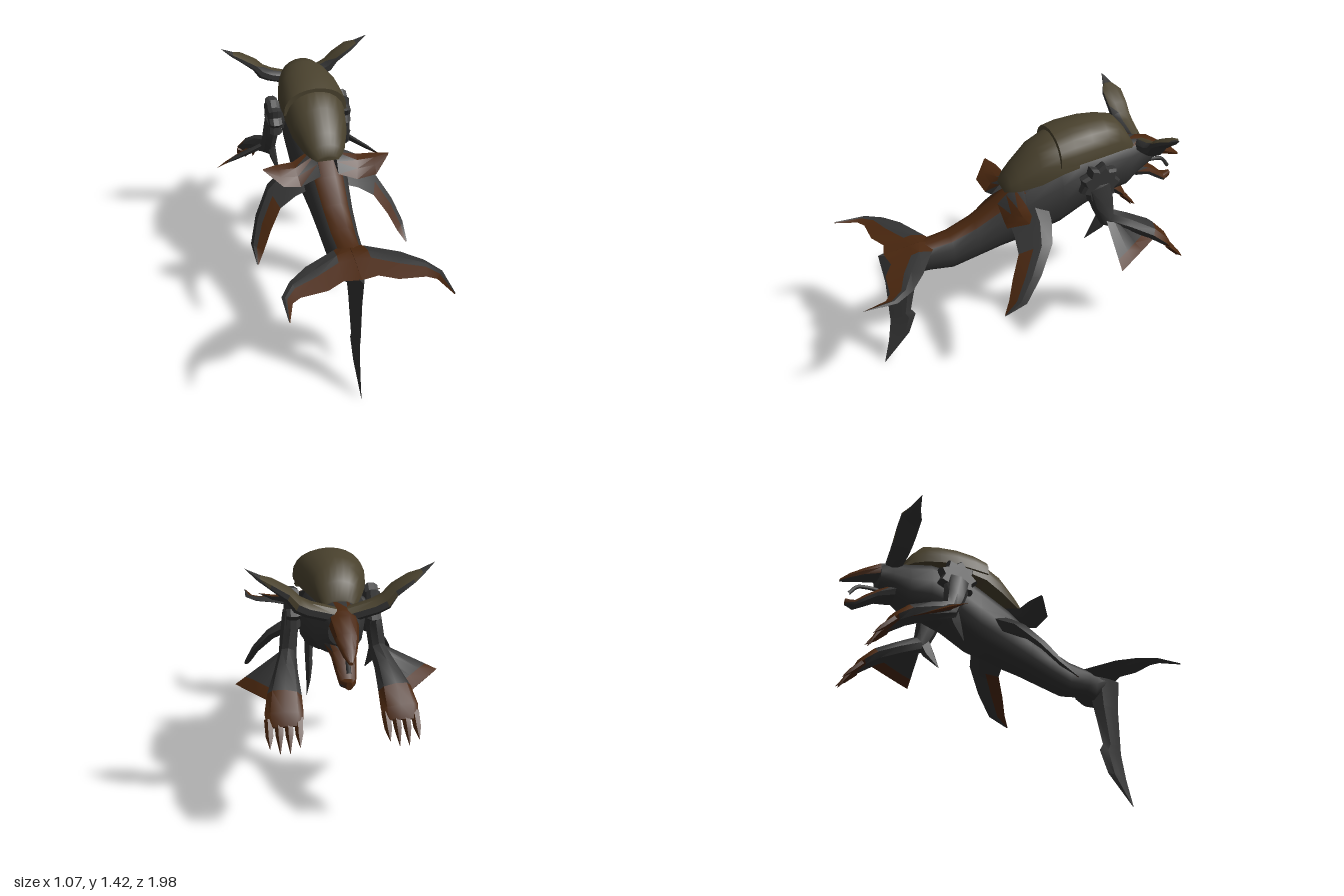
import * as THREE from 'three';
import { toCreasedNormals } from 'three/addons/utils/BufferGeometryUtils.js';

const material = (name, color) => Object.assign(new THREE.MeshStandardMaterial({ color }), { name });
const V = (p) => new THREE.Vector3(p[0], p[1], p[2]);

export function createModel() {
  const mats = [material('hideGrey', 0x343434), material('finBrown', 0x4a270f), material('shellOlive', 0x4a422e)];
  const GREY = 0, BROWN = 1, OLIVE = 2;
  const model = new THREE.Group();
  model.name = 'turtleBeast';
  const add = (name, geometry, mat = mats) => {
    const mesh = new THREE.Mesh(geometry, mat);
    mesh.name = name;
    model.add(mesh);
    return mesh;
  };

  // Skin a list of rings, turn all faces outward and colour each by a rule
  function loft(name, rings, colour, crease = 0.7) {
    const tris = [], n = rings[0].length, last = rings.length - 1;
    const put = (a, b, c, i, j) => tris.push({ p: [a, b, c], i, j });
    for (let i = 0; i < last; i++) {
      for (let j = 0; j < n; j++) {
        const k = (j + 1) % n;
        put(rings[i][j], rings[i][k], rings[i + 1][j], i, j);
        put(rings[i][k], rings[i + 1][k], rings[i + 1][j], i, j);
      }
    }
    for (const end of [0, last]) {
      const mid = rings[end].reduce((s, p) => s.add(p), new THREE.Vector3()).divideScalar(n);
      for (let j = 0; j < n; j++) {
        const a = rings[end][j], b = rings[end][(j + 1) % n];
        if (end) put(a, b, mid, end, j);
        else put(b, a, mid, 0, j);
      }
    }
    const base = rings[0][0];
    const volume = tris.reduce((s, { p }) => {
      const [a, b, c] = p.map((q) => q.clone().sub(base));
      return s + a.dot(b.cross(c));
    }, 0);
    const lists = [[], [], []];
    for (const { p, i, j } of tris) {
      if (volume < 0) p.reverse();
      const normal = p[1].clone().sub(p[0]).cross(p[2].clone().sub(p[0]));
      if (normal.length() < 1e-7) continue;
      const centre = p[0].clone().add(p[1]).add(p[2]).divideScalar(3);
      for (const q of p) lists[colour(centre, normal.normalize(), i, j)].push(q.x, q.y, q.z);
    }
    const geometry = new THREE.BufferGeometry();
    geometry.setAttribute('position', new THREE.Float32BufferAttribute(lists.flat(), 3));
    let start = 0;
    lists.forEach((l, m) => {
      if (l.length) geometry.addGroup(start, l.length / 3, m);
      start += l.length / 3;
    });
    return add(name, toCreasedNormals(geometry, crease));
  }

  // Upright oval section: [z, top, bottom, halfWidth]
  const oval = ([z, top, bottom, w], n = 14) => Array.from({ length: n }, (_, j) => {
    const a = (j - 0.5) * 2 * Math.PI / n, sq = (t) => Math.sign(t) * Math.abs(t) ** 0.85;
    return V([w * sq(Math.sin(a)), (top + bottom) / 2 + (top - bottom) / 2 * sq(Math.cos(a)), z]);
  });

  // Tapered limb: points [x, y, z, radius sideways, radius across]
  function limb(name, pts, s, colour, n = 8) {
    const c = pts.map((p) => V([p[0] * s, p[1], p[2]]));
    const rings = pts.map((p, i) => {
      const t = c[Math.min(i + 1, c.length - 1)].clone().sub(c[Math.max(i - 1, 0)]).normalize();
      const v = t.clone().cross(V([1, 0, 0])).normalize(), u = v.clone().cross(t);
      return Array.from({ length: n }, (_, j) => {
        const a = j * 2 * Math.PI / n;
        return c[i].clone().addScaledVector(u, Math.cos(a) * p[3]).addScaledVector(v, Math.sin(a) * p[4]);
      });
    });
    return loft(name, rings, colour);
  }

  // Thin bladed fin between a leading and a trailing edge
  function fin(name, lead, trail, thick, s, colour, edge = 0.62) {
    const side = (p) => V([p[0] * s, p[1], p[2]]);
    const L = lead.map(side), T = trail.map(side), M = L.map((p, i) => p.clone().lerp(T[i], 0.5));
    const rings = L.map((l, i) => {
      const span = M[Math.min(i + 1, M.length - 1)].clone().sub(M[Math.max(i - 1, 0)]);
      const nrm = T[i].clone().sub(l).cross(span).normalize();
      const at = (f, h) => l.clone().lerp(T[i], f).addScaledVector(nrm, h * thick[i]);
      return [l, at(0.3, 1), at(edge, 0.7), T[i], at(edge, -0.7), at(0.3, -1)];
    });
    return loft(name, rings, colour, 0.5);
  }
  const isEdge = (j) => j === 2 || j === 3;

  // Body from tail root to skull, with a brown stripe along the back
  loft('body', [
    [0.72, 0.8, 0.74, 0.035], [0.62, 0.815, 0.63, 0.06], [0.55, 0.815, 0.645, 0.085], [0.42, 0.84, 0.63, 0.095],
    [0.28, 0.9, 0.67, 0.105], [0.14, 0.99, 0.71, 0.12], [0, 1.09, 0.74, 0.14], [-0.2, 1.19, 0.8, 0.16],
    [-0.35, 1.25, 0.89, 0.165], [-0.5, 1.26, 0.94, 0.155], [-0.62, 1.24, 0.95, 0.125],
    [-0.71, 1.225, 1.02, 0.095], [-0.78, 1.205, 1.06, 0.075],
  ].map((r) => oval(r)), (c, n, i, j) => ((c.z > 0 || c.z < -0.65) && [13, 0, 1].includes(j) ? BROWN : GREY), 1);

  // Beak, lower jaw and tongue
  loft('upperBeak', [[-0.7, 1.225, 1.1, 0.075], [-0.78, 1.21, 1.11, 0.07], [-0.87, 1.155, 1.09, 0.055],
    [-0.94, 1.11, 1.065, 0.035], [-0.99, 1.065, 1.05, 0.01]].map((r) => oval(r, 10)),
  (c, n) => (c.z < -0.77 && n.y > -0.6 || n.y > 0.5 ? BROWN : GREY));
  loft('lowerJaw', [[-0.69, 1.09, 0.99, 0.08], [-0.78, 1.04, 0.975, 0.06], [-0.85, 0.99, 0.93, 0.05],
    [-0.9, 0.945, 0.9, 0.04], [-0.95, 0.95, 0.91, 0.014]].map((r) => oval(r, 10)),
  (c, n) => (c.z < -0.74 && n.y > -0.25 ? BROWN : GREY));
  const tongue = new THREE.CatmullRomCurve3([[0, 1.05, -0.76], [0, 1.05, -0.84], [0, 1.04, -0.89], [0, 0.985, -0.935]].map(V));
  add('tongue', new THREE.TubeGeometry(tongue, 10, 0.011, 6), mats[GREY]);

  // Shell plates as arches: [z, rim, top, halfWidth]
  const arch = ([z, rim, top, w], power) => Array.from({ length: 13 }, (_, j) => {
    const a = j * Math.PI / 12;
    return V([w * Math.cos(a), rim + (top - rim) * Math.sin(a) ** power, z]);
  });
  loft('rearShell', [[0.11, 1.07, 1.1, 0.06], [0.08, 1.08, 1.15, 0.09], [0.035, 1.09, 1.2, 0.115], [-0.07, 1.13, 1.3, 0.155],
    [-0.18, 1.18, 1.35, 0.172], [-0.28, 1.2, 1.36, 0.17]].map((r) => arch(r, 0.85)), () => OLIVE, 0.9);
  loft('frontShell', [[-0.17, 1.22, 1.365, 0.18], [-0.25, 1.225, 1.39, 0.182], [-0.36, 1.235, 1.402, 0.175],
    [-0.46, 1.235, 1.4, 0.155], [-0.54, 1.23, 1.385, 0.13], [-0.6, 1.22, 1.32, 0.105], [-0.65, 1.2, 1.24, 0.075]]
    .map((r) => arch(r, 0.8)), () => OLIVE, 0.9);

  // Vertical tail blade
  fin('tailBlade',
    [[0, 0.79, 0.58], [0, 0.6, 0.62], [0, 0.36, 0.675], [0, 0.32, 0.65], [0, 0.185, 0.7], [0, 0, 0.86]],
    [[0, 0.79, 0.82], [0, 0.6, 0.8], [0, 0.36, 0.8], [0, 0.31, 0.8], [0, 0.16, 0.825], [0, 0, 0.865]],
    [0.05, 0.035, 0.025, 0.024, 0.015, 0], 1, () => GREY);

  for (const s of [1, -1]) {
    const side = s > 0 ? 'left' : 'right';

    // Tail fluke
    fin(side + 'Fluke',
      [[0, 0.8, 0.5], [0.08, 0.8, 0.54], [0.25, 0.8, 0.635], [0.35, 0.79, 0.715], [0.41, 0.785, 0.81], [0.41, 0.785, 0.985]],
      [[0, 0.79, 0.79], [0.09, 0.785, 0.77], [0.18, 0.785, 0.82], [0.32, 0.78, 0.83], [0.365, 0.78, 0.86], [0.405, 0.78, 0.985]],
      [0.025, 0.025, 0.018, 0.014, 0.01, 0], s,
      (c, n, i, j) => (n.y > 0 && (j === 2 || j === 3 || Math.abs(c.x) < 0.09) ? BROWN : GREY), 0.5);

    // Upper rear fin, brown on top
    fin(side + 'HipFin',
      [[0.05, 1.1, 0], [0.18, 1.04, 0.03], [0.28, 1.04, 0.04], [0.355, 1.05, 0.08]],
      [[0.05, 1, 0.15], [0.16, 0.95, 0.15], [0.26, 0.98, 0.17], [0.35, 1.045, 0.09]],
      [0.02, 0.02, 0.015, 0], s, (c, n) => (n.y > 0 && Math.abs(c.x) > 0.11 ? BROWN : GREY));

    // Rear flipper with brown trailing edge
    fin(side + 'RearFlipper',
      [[0.08, 1.0, -0.12], [0.2, 0.92, -0.11], [0.31, 0.85, -0.07], [0.4, 0.72, 0.03], [0.45, 0.6, 0.13], [0.44, 0.54, 0.25]],
      [[0.08, 0.9, 0.1], [0.18, 0.86, 0.1], [0.27, 0.8, 0.11], [0.34, 0.7, 0.17], [0.39, 0.6, 0.21], [0.43, 0.54, 0.25]],
      [0.045, 0.04, 0.03, 0.022, 0.015, 0], s, (c, n, i, j) => (i > 1 && isEdge(j) ? BROWN : GREY), 0.55);

    // Jagged shoulder scale
    const star = new THREE.Shape(Array.from({ length: 18 }, (_, k) => {
      const a = k * Math.PI / 9, r = k % 2 ? 0.08 : 0.105;
      return new THREE.Vector2(r * Math.cos(a), r * Math.sin(a));
    }));
    const scale = add(side + 'ShoulderScale',
      new THREE.ExtrudeGeometry(star, { depth: 0.03, bevelEnabled: true, bevelSize: 0.01, bevelThickness: 0.02, bevelSegments: 1 }), mats[GREY]);
    scale.position.set(0.19 * s, 1.11, -0.38);
    scale.rotation.y = s * Math.PI / 2;

    // Arm with brown hand
    limb(side + 'Arm', [[0.13, 1.12, -0.36, 0.05, 0.08], [0.21, 1.08, -0.38, 0.05, 0.08], [0.225, 0.98, -0.4, 0.045, 0.065],
      [0.235, 0.89, -0.43, 0.045, 0.055], [0.255, 0.84, -0.55, 0.06, 0.05], [0.275, 0.775, -0.68, 0.085, 0.045],
      [0.285, 0.71, -0.76, 0.095, 0.032], [0.285, 0.66, -0.8, 0.085, 0.015]], s,
    (c, n) => (c.z < -0.67 && (n.y > -0.3 || c.z < -0.76) ? BROWN : GREY));
    for (let k = 0; k < 4; k++) {
      const x = 0.215 + k * 0.048;
      limb(side + 'Claw', [[x, 0.69, -0.77, 0.024, 0.018], [x + 0.002, 0.63, -0.83, 0.02, 0.015],
        [x + 0.004, k % 3 ? 0.555 : 0.585, -0.875, 0.001, 0.001]], s, () => BROWN, 5);
    }
    limb(side + 'ElbowSpur', [[0.225, 0.92, -0.42, 0.03, 0.05], [0.21, 0.83, -0.38, 0.02, 0.04], [0.19, 0.74, -0.32, 0.001, 0.001]], s, () => GREY, 5);

    // Arm web with brown rim, the right one spread slightly wider
    const tip = s > 0 ? [0.51, 0.715, -0.4] : [0.556, 0.76, -0.45];
    const rim = [0.33, 0.735, -0.69];
    const elbow = [0.235, 0.92, -0.41], fore = [0.25, 0.85, -0.5];
    const mix = (a, b, f) => a.map((v, k) => v + (b[k] - v) * f);
    fin(side + 'ArmWeb', [elbow, mix(elbow, tip, 0.8), tip], [fore, mix(fore, rim, 0.7), rim],
      [0.02, 0.012, 0.004], s, (c, n, i) => (i > 0 ? BROWN : GREY));

    // Horn, olive above and grey behind
    const horn = [[0.04, 1.19, -0.71, 0.035, 0.045], [0.16, 1.225, -0.71, 0.035, 0.055], [0.21, 1.25, -0.71, 0.035, 0.058],
      [0.25, 1.3, -0.705, 0.028, 0.062], [0.33, 1.355, -0.705, 0.02, 0.062], [0.38, 1.38, -0.7, 0.012, 0.03], [0.445, 1.425, -0.69, 0, 0]];
    loft(side + 'Horn', horn.map(([x, y, z, ry, rz]) => Array.from({ length: 8 }, (_, j) => {
      const a = (j + 0.5) * Math.PI / 4;
      return V([s * (x - 0.5 * ry * Math.sin(a)), y + ry * Math.sin(a), z + rz * Math.cos(a)]);
    })), (c, n) => (n.z < 0.45 && n.y > 0 && Math.abs(c.x) < 0.36 ? OLIVE : GREY));
  }

  model.position.x = 0.02;
  const root = new THREE.Group();
  root.name = 'creature';
  root.add(model);
  return root;
}
